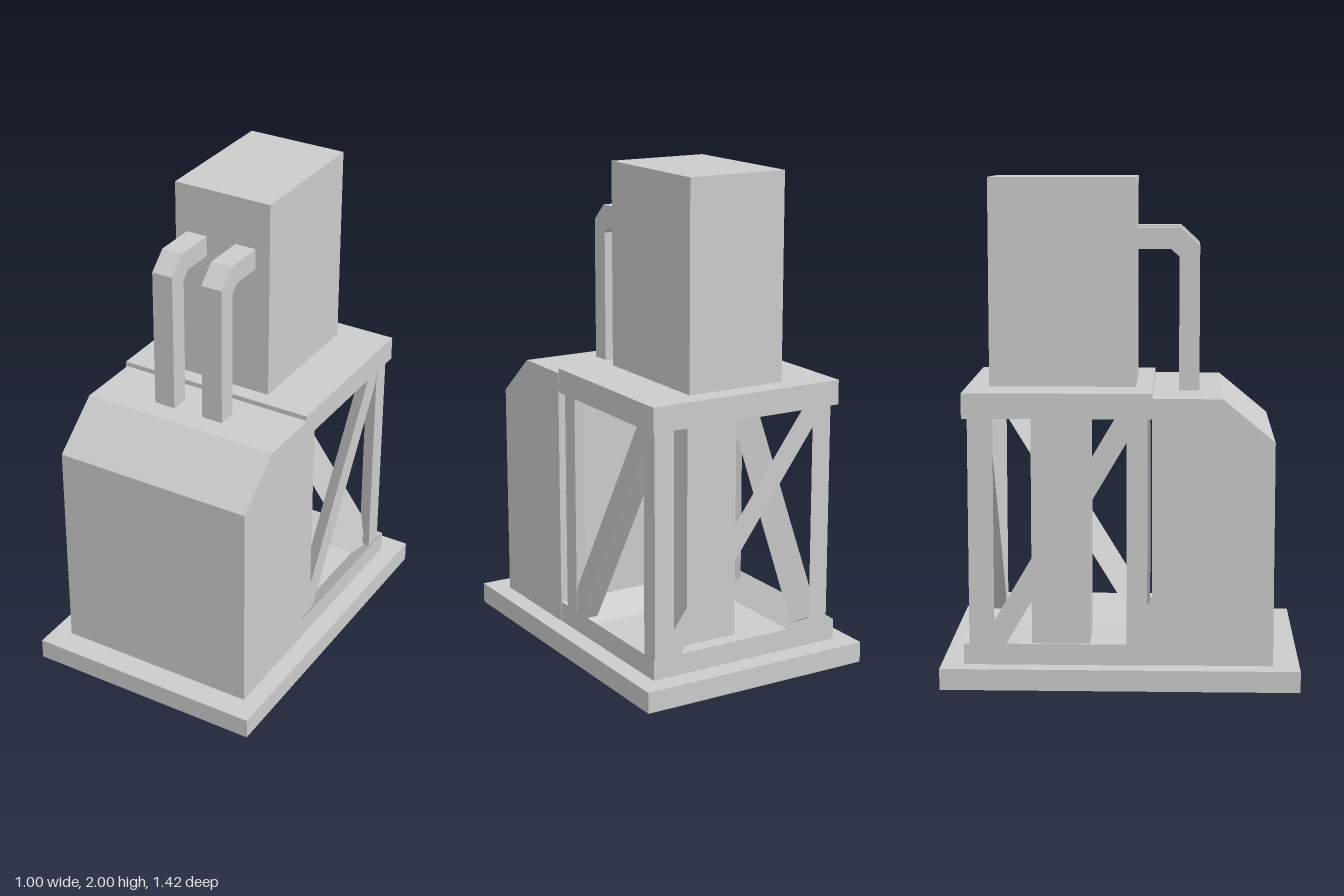
import * as THREE from 'three';
import { ConvexGeometry } from 'three/addons/geometries/ConvexGeometry.js';

const material = new THREE.MeshStandardMaterial({ color: 0xcccccc, flatShading: true });
const V = (x, y, z) => new THREE.Vector3(x, y, z);

function add(parent, name, geometry) {
  const mesh = new THREE.Mesh(geometry, material);
  mesh.name = name;
  parent.add(mesh);
  return mesh;
}

// Box given by its limits on each axis
function box(parent, name, [x0, x1], [y0, y1], [z0, z1]) {
  const mesh = add(parent, name, new THREE.BoxGeometry(x1 - x0, y1 - y0, z1 - z0));
  mesh.position.set((x0 + x1) / 2, (y0 + y1) / 2, (z0 + z1) / 2);
}

// Side profile of [z, y] points extruded across x
function sideProfile(parent, name, points, x0, x1) {
  const shape = new THREE.Shape(points.map(([z, y]) => new THREE.Vector2(-z, y)));
  const geometry = new THREE.ExtrudeGeometry(shape, { depth: x1 - x0, bevelEnabled: false });
  geometry.rotateY(Math.PI / 2);
  geometry.translate(x0, 0, 0);
  add(parent, name, geometry);
}

// Three-sided bar from a to b, its section being the corner plus legs u and v
function bar(parent, name, a, b, u, v) {
  const points = [a, b].flatMap((p) => [p.clone(), p.clone().add(u), p.clone().add(v)]);
  add(parent, name, new ConvexGeometry(points));
}

// Diagonal brace lying in an outer plane, its thick edge on the lower side
function brace(parent, name, bottom, top, inward) {
  const direction = top.clone().sub(bottom).normalize();
  const lower = direction.clone().cross(inward).normalize();
  if (lower.y > 0) lower.negate();
  const offset = lower.clone().multiplyScalar(0.044);
  bar(parent, name, bottom.clone().add(offset), top.clone().add(offset),
    lower.clone().multiplyScalar(-0.088), inward.clone().multiplyScalar(0.08));
}

export function createModel() {
  const model = new THREE.Group();
  model.name = 'machine';

  // Ground plate
  box(model, 'basePlate', [-0.5, 0.5], [0, 0.085], [-0.71, 0.71]);

  // Front cabinet with sloping upper edge
  sideProfile(model, 'cabinet',
    [[0.125, 0.085], [0.605, 0.085], [0.605, 0.98], [0.4, 1.15], [0.125, 1.15]], -0.422, 0.424);

  // Open frame behind the cabinet
  const frame = new THREE.Group();
  frame.name = 'frame';
  model.add(frame);
  const X0 = -0.428, X1 = 0.422, Z0 = -0.62, Z1 = 0.125;
  box(frame, 'deck', [X0, X1], [1.15, 1.17], [Z0, Z1]);

  // Bottom and top rims
  for (const [name, y, height] of [['lowerRim', 0.085, 0.085], ['upperRim', 1.15, -0.08]]) {
    const up = V(0, height, 0);
    for (const [x, inward] of [[X0, 0.1], [X1, -0.1]])
      bar(frame, name + 'Side', V(x, y, Z0), V(x, y, Z1), up, V(inward, 0, 0));
    for (const [z, inward] of [[Z0, 0.1], [Z1, -0.1]])
      bar(frame, name + 'Cross', V(X0, y, z), V(X1, y, z), up, V(0, 0, inward));
  }

  // Corner posts
  for (const side of [-1, 1]) {
    for (const [end, z] of [['front', 0.105], ['back', -0.6]]) {
      const depth = end === 'front' ? -0.08 : side < 0 ? 0.1 : 0.08;
      bar(frame, end + 'Post', V(side * 0.405, 0.09, z), V(side * 0.405, 1.15, z),
        V(-side * 0.085, 0, 0), V(0, 0, depth));
    }
  }

  // Diagonal braces on both sides and the back
  brace(frame, 'leftBrace', V(0.4, 0.15, 0.042), V(0.4, 1.09, -0.532), V(-1, 0, 0));
  brace(frame, 'rightBrace', V(-0.4, 0.15, -0.512), V(-0.4, 1.09, 0.042), V(1, 0, 0));
  brace(frame, 'backBrace', V(0.345, 0.15, -0.595), V(-0.345, 1.09, -0.595), V(0, 0, 1));

  // Central column under the deck
  box(model, 'column', [-0.11, 0.12], [0.085, 1.15], [-0.375, -0.135]);

  // Tall housing on the deck
  box(model, 'tower', [-0.217, 0.208], [1.17, 2], [-0.53, 0.057]);

  // Pair of square ducts from the cabinet to the tower
  const duct = [[0.31, 1.15], [0.31, 1.73], [0.235, 1.8], [0.057, 1.8],
    [0.057, 1.715], [0.195, 1.715], [0.228, 1.685], [0.228, 1.15]];
  for (const x of [-0.165, 0.055]) sideProfile(model, 'duct', duct, x, x + 0.09);

  return model;
}
